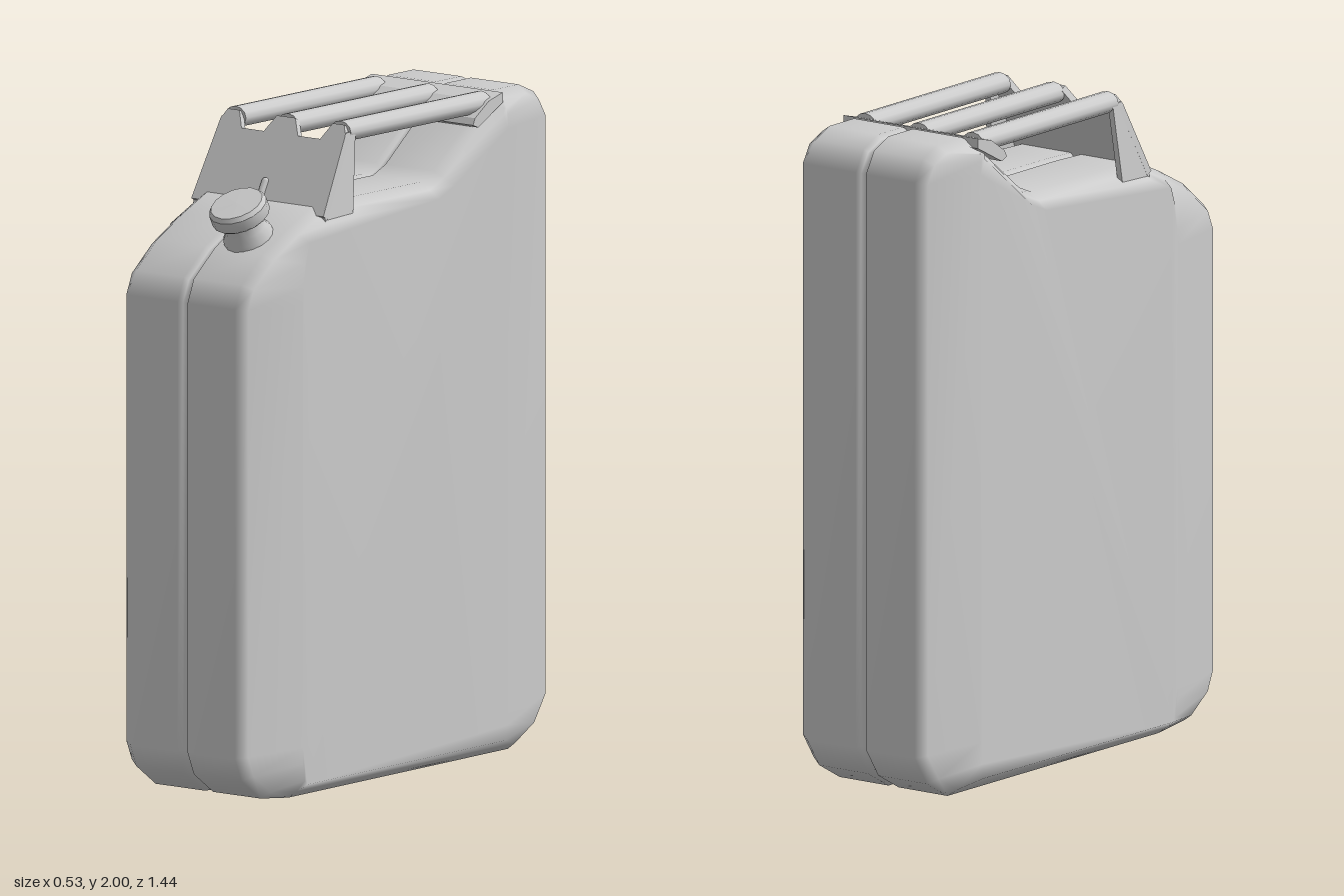
import * as THREE from 'three';

const material = new THREE.MeshStandardMaterial({ color: 0xcccccc });
const V = (a, b) => new THREE.Vector2(a, b);

function add(parent, name, geometry) {
  const mesh = new THREE.Mesh(geometry, material);
  mesh.name = name;
  parent.add(mesh);
  return mesh;
}

// Side profile given as [z, y], extruded along x and centred on it
function sideExtrude(points, width) {
  const shape = new THREE.Shape(points.map(([z, y]) => V(-z, y)));
  const g = new THREE.ExtrudeGeometry(shape, { depth: width, bevelEnabled: false });
  return g.translate(0, 0, -width / 2).rotateY(Math.PI / 2);
}

// Move every corner of a closed outline inwards by d (mitred)
function inset(points, d) {
  const n = points.length;
  return points.map((p, i) => {
    const e1 = p.clone().sub(points[(i + n - 1) % n]).normalize();
    const e2 = points[(i + 1) % n].clone().sub(p).normalize();
    const n1 = V(-e1.y, e1.x), n2 = V(-e2.y, e2.x);
    const k = d / Math.max(0.3, 1 + n1.dot(n2));
    return p.clone().addScaledVector(n1.add(n2), k);
  });
}

// Can body: side outline lofted across x, with a seam groove and bulged cheeks
function bodyGeometry() {
  const outline = [
    [0.72, 0.15], [0.72, 1.5], [0.69, 1.57], [0.59, 1.65], [0.47, 1.712], [0.36, 1.76], [0.22, 1.765],
    [-0.15, 1.765], [-0.21, 1.79], [-0.44, 1.97], [-0.49, 1.995], [-0.61, 1.995], [-0.68, 1.965],
    [-0.72, 1.9], [-0.72, 0.15], [-0.66, 0.06], [-0.56, 0.005], [0.47, 0], [0.6, 0.015], [0.69, 0.08],
  ].map(([z, y]) => V(z, y));
  const cheek = inset(outline, 0.045).map((p) => {
    const over = Math.max(0, Math.abs(p.x) - 0.46);
    return V(Math.sign(p.x) * (Math.abs(p.x) - over * 0.9), p.y);
  });
  const half = [
    [0.265, cheek], [0.232, inset(outline, 0.022)], [0.2, outline],
    [0.019, outline], [0.011, inset(outline, 0.016)],
  ];
  const rings = [...half, ...half.map(([x, o]) => [-x, o]).reverse()];
  const n = outline.length, position = [], index = [];
  rings.forEach(([x, o]) => o.forEach((p) => position.push(x, p.y, p.x)));
  for (let r = 0; r < rings.length - 1; r++) {
    for (let j = 0; j < n; j++) {
      const a = r * n + j, b = r * n + ((j + 1) % n);
      index.push(a, b, a + n, b, b + n, a + n);
    }
  }
  const last = (rings.length - 1) * n;
  for (const [a, b, c] of THREE.ShapeUtils.triangulateShape(cheek, [])) {
    index.push(a, c, b, last + a, last + b, last + c);
  }
  const g = new THREE.BufferGeometry();
  g.setAttribute('position', new THREE.Float32BufferAttribute(position, 3));
  g.setIndex(index);
  g.computeVertexNormals();
  return g;
}

// Three carrying bars with a notched, leaning front bracket and a rear plate
function createHandle() {
  const handle = new THREE.Group();
  handle.name = 'handle';
  for (const x of [-0.2, 0, 0.2]) {
    const bar = new THREE.CylinderGeometry(0.04, 0.04, 0.66, 12).rotateX(Math.PI / 2);
    bar.scale(1, 0.8, 1);
    add(handle, 'handleBar', bar).position.set(x, 1.968, -0.105);
  }

  const bracket = new THREE.Shape([
    [-0.252, -0.02], [0.252, -0.02], [0.238, 0.235], [0.222, 0.268], [0.178, 0.268], [0.15, 0.215], [0.065, 0.215],
    [0.035, 0.268], [-0.035, 0.268], [-0.065, 0.215], [-0.15, 0.215], [-0.178, 0.268], [-0.222, 0.268], [-0.238, 0.235],
  ].map(([x, y]) => V(x, y)));
  const front = new THREE.ExtrudeGeometry(bracket, { depth: 0.022, bevelEnabled: false });
  front.translate(0, 0, -0.022).rotateX(-0.489).translate(0, 1.755, 0.36);
  add(handle, 'frontBracket', front);

  for (const side of [-1, 1]) {
    const flange = add(handle, 'bracketFlange', sideExtrude(
      [[0.36, 0], [0.36, 0.035], [0.245, 0.25], [0.2, 0.25], [0.23, 0]], 0.018));
    flange.position.set(side * 0.243, 1.72, 0);
    flange.rotation.z = side * 0.06;
  }

  add(handle, 'rearPlate', sideExtrude(
    [[-0.475, 1.995], [-0.41, 1.978], [-0.345, 1.935], [-0.335, 1.915], [-0.36, 1.905], [-0.475, 1.965]], 0.5));

  // Pointed end of the seam on the bracket
  const tip = new THREE.CapsuleGeometry(0.011, 0.06, 4, 8).rotateX(-0.489);
  add(handle, 'seamTip', tip).position.set(0, 1.785, 0.346);
  return handle;
}

// Filler neck and screw cap, tilted along the sloping shoulder
function createSpout() {
  const spout = new THREE.Group();
  spout.name = 'spout';
  const lathe = (pts) => {
    const g = new THREE.LatheGeometry(pts.map(([r, y]) => V(r, y)), 16);
    return g;
  };
  add(spout, 'neck', lathe([[0.078, -0.04], [0.075, 0.015], [0.062, 0.035], [0.062, 0.08]]));
  add(spout, 'cap', lathe([
    [0, 0.07], [0.08, 0.07], [0.08, 0.07], [0.089, 0.078], [0.089, 0.112], [0.089, 0.112],
    [0.08, 0.125], [0.08, 0.125], [0, 0.127],
  ]));
  spout.position.set(0.098, 1.68, 0.53);
  spout.rotation.x = 0.48;
  return spout;
}

export function createModel() {
  const model = new THREE.Group();
  model.name = 'fuelCan';
  add(model, 'body', bodyGeometry());
  model.add(createHandle(), createSpout());
  return model;
}
